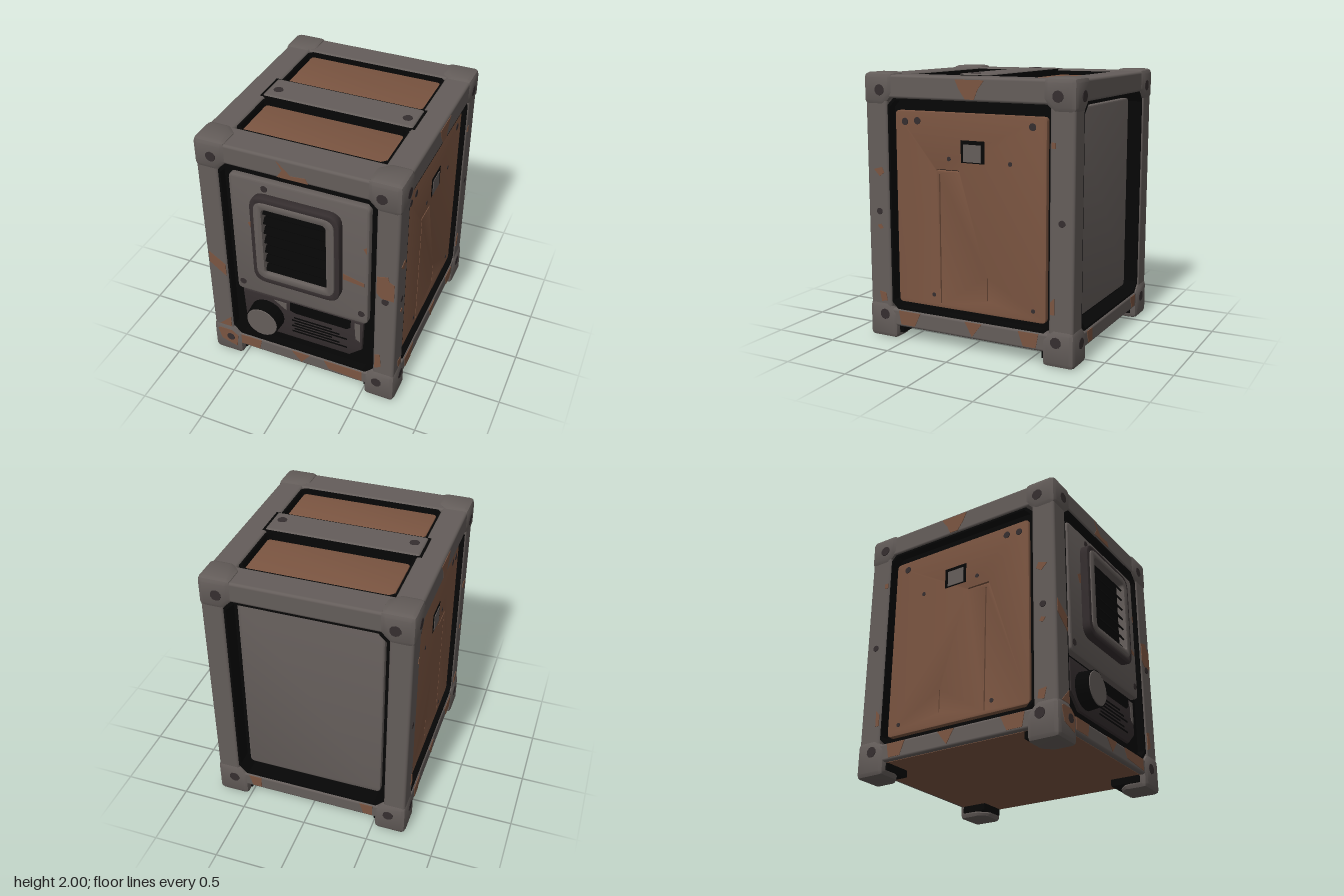
import * as THREE from 'three';
import { toCreasedNormals } from 'three/addons/utils/BufferGeometryUtils.js';
import { RoundedBoxGeometry } from 'three/addons/geometries/RoundedBoxGeometry.js';
import { ConvexGeometry } from 'three/addons/geometries/ConvexGeometry.js';

const mat = (name, color) => Object.assign(new THREE.MeshStandardMaterial({ color }), { name });

export function createModel() {
  const grey = mat('worn grey metal', 0x645d5a);
  const rust = mat('rust brown', 0x7b5541);
  const black = mat('gap black', 0x060606);
  const dark = mat('dark trim', 0x352e2f);
  const model = new THREE.Group();
  model.name = 'metalCrate';

  const add = (parent, name, geo, material, x = 0, y = 0, z = 0) => {
    const m = new THREE.Mesh(geo, material);
    m.name = name;
    m.position.set(x, y, z);
    parent.add(m);
    return m;
  };
  // Rounded block given by its two corners
  const block = (parent, name, material, [x0, y0, z0], [x1, y1, z1], r = 0.02) =>
    add(parent, name, new RoundedBoxGeometry(x1 - x0, y1 - y0, z1 - z0, 2, r), material,
      (x0 + x1) / 2, (y0 + y1) / 2, (z0 + z1) / 2);
  const poly = pts => new THREE.Shape(pts.map(p => new THREE.Vector2(...p)));
  const roundRect = (x0, y0, x1, y1, r, path = new THREE.Shape()) => {
    path.moveTo(x0 + r, y0);
    path.lineTo(x1 - r, y0); path.quadraticCurveTo(x1, y0, x1, y0 + r);
    path.lineTo(x1, y1 - r); path.quadraticCurveTo(x1, y1, x1 - r, y1);
    path.lineTo(x0 + r, y1); path.quadraticCurveTo(x0, y1, x0, y1 - r);
    path.lineTo(x0, y0 + r); path.quadraticCurveTo(x0, y0, x0 + r, y0);
    return path;
  };
  // Raised shape from depth z0 to z1 with an optional bevel
  const raised = (parent, name, material, shape, z0, z1, bevel = 0) => {
    const geo = new THREE.ExtrudeGeometry(shape, {
      depth: z1 - z0 - bevel, bevelEnabled: bevel > 0, bevelSize: bevel,
      bevelThickness: bevel, bevelOffset: -bevel, bevelSegments: 2, curveSegments: 5,
    });
    return add(parent, name, toCreasedNormals(geo, 0.6), material, 0, 0, z0);
  };
  const patch = (parent, material, pts, z, name = 'rustPatch') =>
    raised(parent, name, material, poly(pts), z - 0.002, z + 0.003);
  const rect = (x0, y0, x1, y1) => [[x0, y0], [x1, y0], [x1, y1], [x0, y1]];
  const octagon = (x0, y0, x1, y1, c) => [[x0 + c, y0], [x1 - c, y0], [x1, y0 + c], [x1, y1 - c],
    [x1 - c, y1], [x0 + c, y1], [x0, y1 - c], [x0, y0 + c]];
  // Black lining around the inner walls of a frame opening
  const liner = (parent, x0, y0, x1, y1, c, z0, z1) => {
    const s = poly(octagon(x0 - 0.004, y0 - 0.004, x1 + 0.004, y1 + 0.004, c));
    s.holes.push(poly(octagon(x0 + 0.012, y0 + 0.012, x1 - 0.012, y1 - 0.012, c)));
    raised(parent, 'openingLiner', black, s, z0, z1);
  };
  const rivet = (parent, x, y, z, r = 0.038) => {
    const m = add(parent, 'rivet', new THREE.CylinderGeometry(r * 0.95, r, 0.008, 10), dark, x, y, z - 0.001);
    m.rotation.x = Math.PI / 2;
  };
  // A group whose local z points out of one face of the crate
  const face = (name, rx, ry) => {
    const g = new THREE.Group();
    g.name = name;
    g.rotation.set(rx, ry, 0);
    model.add(g);
    return g;
  };

  // Recessed dark core
  block(model, 'core', black, [-0.67, 0.11, -0.72], [0.67, 1.9, 0.74]);

  // Corner block: rounded box whose inner edges are cut away
  const ball = [];
  for (const x of [-1, 0, 1]) for (const y of [-1, 0, 1]) for (const z of [-1, 0, 1])
    if (x || y || z) ball.push(new THREE.Vector3(x, y, z).setLength(0.035));
  const corner = (sx, sy, sz) => {
    const outer = [0.76 * sx, sy > 0 ? 2 : 0, sz > 0 ? 0.82 : -0.87];
    const size = [0.245, sy > 0 ? 0.235 : 0.275, 0.245];
    const dir = [-sx, -sy, -sz], r = 0.035, c = 0.055, pts = [];
    for (let a = 0; a < 3; a++) {
      const p = (a + 1) % 3, q = (a + 2) % 3, P = size[p] - r, Q = size[q] - r;
      const put = (d, u, v) => {
        const o = [0, 0, 0];
        o[a] = d; o[p] = u; o[q] = v;
        const base = new THREE.Vector3(...o.map((e, i) => outer[i] + dir[i] * e));
        ball.forEach(n => pts.push(base.clone().add(n)));
      };
      [[r, r], [P, r], [r, Q], [P, Q - c], [P - c, Q]].forEach(e => put(r, ...e));
      [[r, r], [r, Q - c], [P - c, r]].forEach(e => put(size[a] - r, ...e));
    }
    add(model, sy > 0 ? 'topCorner' : 'foot', toCreasedNormals(new ConvexGeometry(pts), 0.5), grey);
  };
  for (const sx of [-1, 1]) {
    for (const sz of [-1, 1]) {
      corner(sx, 1, sz);
      corner(sx, -1, sz);
      // Upright posts
      const [z0, z1] = sz > 0 ? [0.625, 0.81] : [-0.86, -0.675];
      const [x0, x1] = sx > 0 ? [0.585, 0.75] : [-0.75, -0.585];
      block(model, 'post', grey, [x0, 0.15, z0], [x1, 1.9, z1]);
      // Black backing on the inner sides of each foot
      const [f0, f1] = sz > 0 ? [0.54, 0.77] : [-0.82, -0.61];
      add(model, 'footBacking', new THREE.BoxGeometry(0.22, 0.07, f1 - f0), black, sx * 0.61, 0.08, (f0 + f1) / 2);
    }
    // Side rails
    const rail = (name, inner, y0, y1) => block(model, name, grey,
      [sx > 0 ? inner : -0.75, y0, -0.75], [sx > 0 ? 0.75 : -inner, y1, 0.7]);
    rail('topSideRail', 0.557, 1.815, 1.985);
    rail('bottomSideRail', 0.575, 0.1, 0.235);
  }
  // Front and back rails
  for (const [z0, z1] of [[0.575, 0.81], [-0.86, -0.645]]) {
    block(model, 'topRail', grey, [-0.65, 1.83, z0], [0.65, 1.985, z1]);
    block(model, 'bottomRail', grey, [-0.65, 0.1, z0], [0.65, 0.22, z1]);
  }
  // Underside plate
  add(model, 'bottomPanel', new THREE.BoxGeometry(1.44, 0.03, 1.6), rust, 0, 0.112, -0.025);

  // Top panels and crossbar (local y is -z)
  const top = face('topFace', -Math.PI / 2, 0);
  for (const [y0, y1] of [[0.18, 0.63], [-0.55, -0.165]])
    raised(top, 'topPanel', rust, roundRect(-0.53, y0, 0.53, y1, 0.03), 1.88, 1.945, 0.008);
  liner(top, -0.557, 0.13, 0.557, 0.647, 0.035, 1.9, 1.975);
  liner(top, -0.557, -0.577, 0.557, -0.12, 0.035, 1.9, 1.975);
  block(model, 'crossbar', grey, [-0.58, 1.88, -0.135], [0.575, 1.997, 0.125]);
  add(model, 'crossbarShadowGap', new THREE.BoxGeometry(1.185, 0.02, 0.27), black, -0.003, 1.978, -0.005);
  for (const x of [-0.5, 0.5]) rivet(top, x, -0.02, 1.997);

  // Front access panel
  const front = face('frontFace', 0, 0);
  liner(front, -0.583, 0.222, 0.583, 1.828, 0.065, 0.7, 0.8);
  raised(front, 'frontPanel', grey, roundRect(-0.52, 0.7, 0.53, 1.75, 0.04), 0.73, 0.79, 0.015);
  [[-0.245, 1.69], [-0.47, 0.78], [0.48, 0.795]].forEach(([x, y]) => rivet(front, x, y, 0.791, 0.027));
  // Vent with two nested rims and slats
  const ventRim = (name, m, o, i, z) => {
    const s = roundRect(...o);
    s.holes.push(roundRect(...i, new THREE.Path()));
    raised(front, name, m, s, 0.78, z, 0.01);
  };
  ventRim('ventOuterRim', dark, [-0.34, 0.89, 0.335, 1.65, 0.1], [-0.29, 0.94, 0.285, 1.6, 0.06], 0.85);
  ventRim('ventInnerRim', grey, [-0.308, 0.935, 0.3, 1.615, 0.085], [-0.243, 0.988, 0.238, 1.562, 0.035], 0.86);
  patch(front, black, rect(-0.27, 0.96, 0.265, 1.59), 0.793, 'ventBacking');
  for (let i = 0; i < 7; i++) {
    const s = add(front, 'ventSlat', new THREE.BoxGeometry(0.5, 0.055, 0.012), black, 0, 1.02 + i * 0.085, 0.82);
    s.rotation.x = -0.6;
  }
  // Control strip with dial, slot and grille
  raised(front, 'controlPanel', dark, poly([[-0.495, 0.67], [-0.485, 0.42], [-0.37, 0.31], [0.38, 0.31],
    [0.48, 0.4], [0.49, 0.67]]), 0.73, 0.765, 0.012);
  patch(front, black, [[-0.1, 0.59], [-0.06, 0.575], [0.36, 0.575], [0.39, 0.6], [0.39, 0.67], [-0.1, 0.67]], 0.766, 'slot');
  patch(front, grey, [[0.43, 0.5], [0.465, 0.48], [0.465, 0.655], [0.42, 0.655]], 0.766, 'sideTab');
  patch(front, grey, [[-0.23, 0.65], [-0.13, 0.58], [-0.13, 0.65]], 0.766, 'dialTab');
  for (let i = 0; i < 6; i++)
    patch(front, black, rect(-0.09 + (i % 2) * 0.02, 0.378 + i * 0.028, 0.36 - (i % 3) * 0.06, 0.39 + i * 0.028), 0.766, 'grilleLine');
  const dial = add(front, 'dial', new THREE.CylinderGeometry(0.132, 0.142, 0.13, 20), black, -0.295, 0.48, 0.8);
  dial.rotation.x = Math.PI / 2;
  const cap = add(front, 'dialFace', new THREE.CylinderGeometry(0.122, 0.128, 0.008, 20), grey, -0.295, 0.48, 0.866);
  cap.rotation.x = Math.PI / 2;
  // Front frame rivets and rust
  [[-0.625, 1.875, 0.04], [0.62, 1.875, 0.04], [0.62, 0.165, 0.042]].forEach(([x, y, r]) => rivet(front, x, y, 0.821, r));
  rivet(front, -0.61, 0.165, 0.824, 0.035);
  rivet(front, 0.665, 0.995, 0.814, 0.028);
  [[[-0.13, 1.965], [-0.09, 1.9], [-0.13, 1.84], [0.1, 1.84], [0.08, 1.88], [-0.03, 1.87]],
    [[-0.73, 1.0], [-0.73, 0.9], [-0.6, 0.8], [-0.6, 0.91]],
    [[0.6, 1.21], [0.6, 1.06], [0.64, 1.02], [0.73, 1.02], [0.73, 1.17], [0.69, 1.19], [0.68, 1.23]],
    [[-0.52, 0.21], [-0.52, 0.12], [-0.36, 0.12], [-0.34, 0.21]],
    [[-0.08, 0.21], [0, 0.12], [0.07, 0.21]],
    [[0.19, 0.21], [0.23, 0.14], [0.5, 0.12], [0.5, 0.21]],
    [[-0.7, 0.27], [-0.6, 0.27], [-0.6, 0.37]],
    [[0.6, 0.45], [0.6, 0.31], [0.65, 0.34], [0.64, 0.46]]].forEach(p => patch(front, rust, p, 0.811));
  patch(front, rust, [[-0.72, 0.22], [-0.69, 0.12], [-0.56, 0.08], [-0.545, 0.19], [-0.6, 0.235], [-0.7, 0.235]], 0.8205);
  [[[0.34, 1.13], [0.34, 1.08], [0.5, 1.06], [0.5, 1.09]],
    [[-0.39, 1.36], [-0.36, 1.3], [-0.345, 1.31], [-0.345, 1.39]],
    [[0.49, 1.4], [0.515, 1.36], [0.515, 1.42]]].forEach(p => patch(front, rust, p, 0.79));

  // Back panel, set deep in its opening
  const back = face('backFace', 0, Math.PI);
  liner(back, -0.583, 0.222, 0.583, 1.828, 0.065, 0.7, 0.85);
  raised(back, 'backPanel', grey, roundRect(-0.53, 0.27, 0.53, 1.78, 0.04), 0.7, 0.76, 0.012);
  for (const x of [-0.625, 0.625]) { rivet(back, x, 1.875, 0.871, 0.042); rivet(back, x, 0.165, 0.871, 0.042); }
  for (const x of [-0.5, 0.4])
    patch(back, rust, [[x, 0.21], [x + 0.03, 0.12], [x + 0.1, 0.12], [x + 0.1, 0.21]], 0.861);

  // Both sides: local x is -z on the left and +z on the right
  for (const s of [1, -1]) {
    const g = face(s > 0 ? 'leftFace' : 'rightFace', 0, s * Math.PI / 2);
    const flip = pts => (s > 0 ? pts : pts.slice().reverse()).map(([z, y]) => [-s * z, y]);
    const box = (m, z0, y0, z1, y1, d, name) => patch(g, m, flip(rect(z0, y0, z1, y1)), d, name);
    const [a, b] = s > 0 ? [-0.575, 0.635] : [-0.635, 0.575];
    liner(g, a - 0.045, 0.237, b + 0.045, 1.813, 0.05, 0.65, 0.74);
    // Panel with narrow seams cut through it
    const panel = roundRect(a, 0.29, b, 1.73, 0.03);
    [[0.206, 0.32, 0.214, 1.28], [0.05, 1.31, 0.235, 1.32], [-0.18, 0.39, -0.174, 0.56]]
      .forEach(r => panel.holes.push(poly(flip(rect(...r)))));
    raised(g, 'sidePanel', rust, panel, 0.66, 0.71, 0.003);
    // Window and bolts
    box(black, -0.16, 1.38, 0.03, 1.54, 0.71, 'windowFrame');
    box(grey, -0.132, 1.388, 0.008, 1.512, 0.714, 'window');
    [[0.495, 1.65], [0.39, 1.66], [-0.53, 1.66]].forEach(([z, y]) => rivet(g, -s * z, y, 0.711, 0.028));
    [[0.27, 0.38], [-0.54, 0.37], [0.13, 1.4], [-0.36, 1.395]].forEach(([z, y]) => rivet(g, -s * z, y, 0.71, 0.017));
    // Frame rivets and rust
    for (const z of [0.68, -0.735]) { rivet(g, -s * z, 1.875, 0.761, 0.042); rivet(g, -s * z, 0.185, 0.761, 0.042); }
    rivet(g, -s * 0.71, 0.975, 0.751, 0.026);
    rivet(g, s * 0.77, 1.025, 0.751, 0.026);
    [[[0.05, 1.965], [0.02, 1.9], [-0.03, 1.83], [-0.1, 1.83], [-0.13, 1.9], [-0.18, 1.965]],
      [[0.56, 0.225], [0.54, 0.12], [0.42, 0.12], [0.37, 0.225]],
      [[-0.01, 0.225], [-0.07, 0.12], [-0.15, 0.225]],
      [[-0.44, 0.225], [-0.48, 0.12], [-0.58, 0.12], [-0.6, 0.225]],
      [[0.75, 1.29], [0.7, 1.24], [0.66, 1.27], [0.68, 1.31]],
      [[0.73, 0.36], [0.71, 0.28], [0.66, 0.29], [0.67, 0.35]],
      [[0.73, 0.87], [0.71, 0.84], [0.68, 0.85], [0.7, 0.88]],
      [[-0.69, 1.57], [-0.69, 1.53], [-0.72, 1.53], [-0.72, 1.57]],
      [[-0.69, 0.47], [-0.69, 0.38], [-0.72, 0.38], [-0.72, 0.5]]].forEach(p => patch(g, rust, flip(p), 0.751));
  }
  return model;
}
